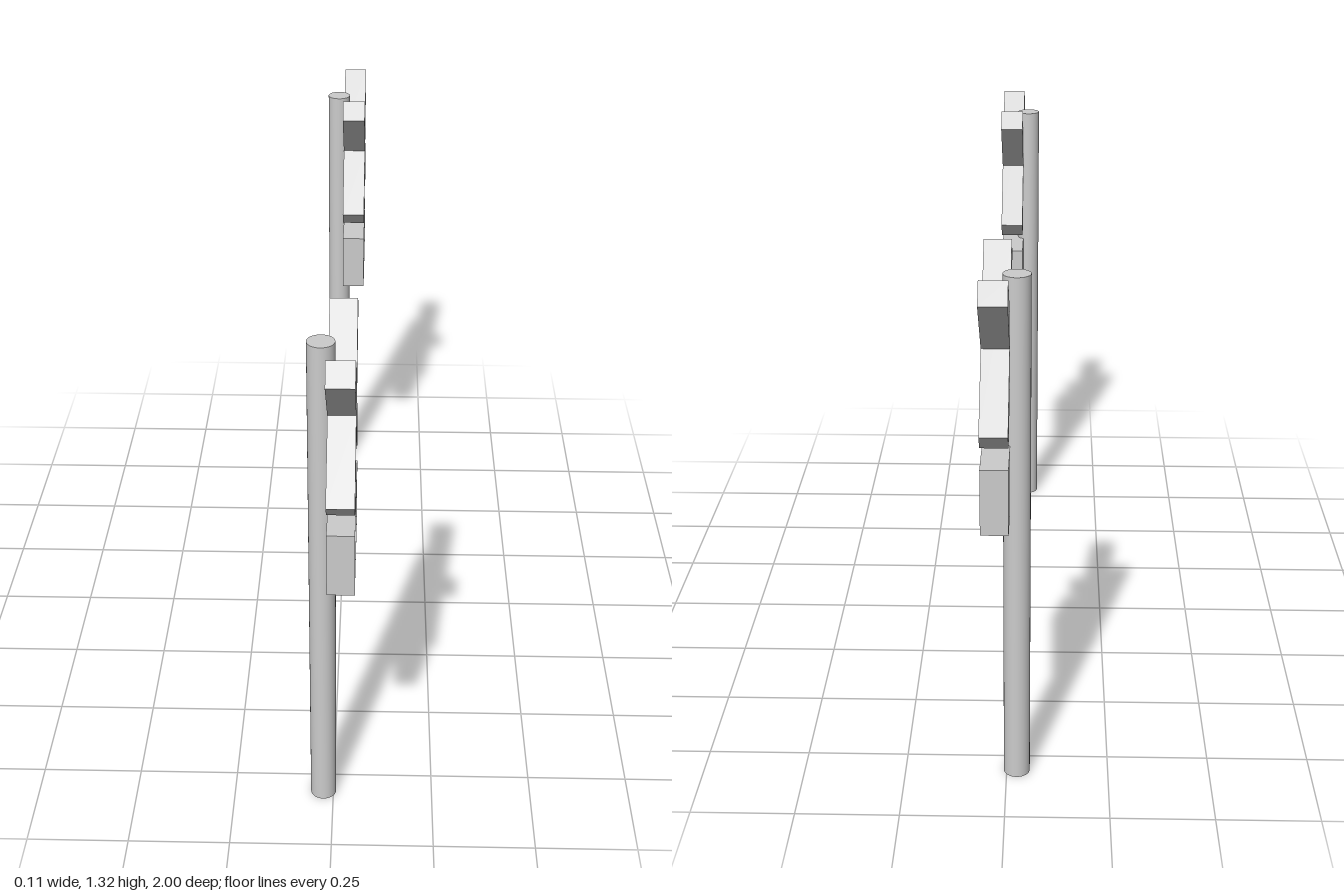
import * as THREE from 'three';

const material = new THREE.MeshStandardMaterial({ color: 0xcccccc });

function box(name, size, position, tilt = 0) {
  const mesh = new THREE.Mesh(new THREE.BoxGeometry(...size), material);
  mesh.name = name;
  mesh.position.set(...position);
  mesh.rotation.x = tilt;
  return mesh;
}

// Shallow open tray facing +x with a plate set into it
function createSignBox() {
  const sign = new THREE.Group();
  sign.name = 'signBox';
  const depth = 0.064, height = 0.16, width = 0.32, wall = 0.005;
  sign.add(box('backPanel', [0.026, height, width], [-depth / 2 + 0.013, 0, 0]));
  sign.add(box('signPlate', [0.004, height - 2 * wall, width - 0.026], [-depth / 2 + 0.028, 0, 0]));
  for (const s of [-1, 1]) {
    sign.add(box('rimLong', [depth, wall, width], [0, s * (height - wall) / 2, 0]));
    sign.add(box('rimEnd', [depth, height - 2 * wall, wall], [0, 0, s * (width - wall) / 2]));
  }
  return sign;
}

function createCrossingSign() {
  const post = new THREE.Group();
  post.name = 'crossingSign';

  // Round pole
  const pole = new THREE.Mesh(new THREE.CylinderGeometry(0.032, 0.032, 1.29, 32), material);
  pole.name = 'pole';
  pole.position.set(-0.025, 0.645, 0);
  post.add(pole);

  // Crossed boards: one whole board and two halves that butt against it
  const cross = new THREE.Group();
  cross.name = 'crossBoards';
  const length = 0.482, width = 0.062, depth = 0.064;
  const half = (length - width) / 2, offset = (width + half) / 2;
  cross.add(box('crossBoard', [depth, length, width], [0, 0, 0]));
  for (const s of [-1, 1]) {
    cross.add(box('crossBoardHalf', [depth, width, half], [0, 0, s * offset]));
  }
  cross.rotation.x = Math.PI / 4;
  cross.position.set(0.022, 1.13, 0);
  post.add(cross);

  const sign = createSignBox();
  sign.position.set(0.022, 0.81, 0);
  post.add(sign);
  return post;
}

export function createModel() {
  const model = new THREE.Group();
  model.name = 'crossingSigns';
  for (const z of [-0.808, 0.808]) {
    const post = createCrossingSign();
    post.position.z = z;
    model.add(post);
  }
  return model;
}
